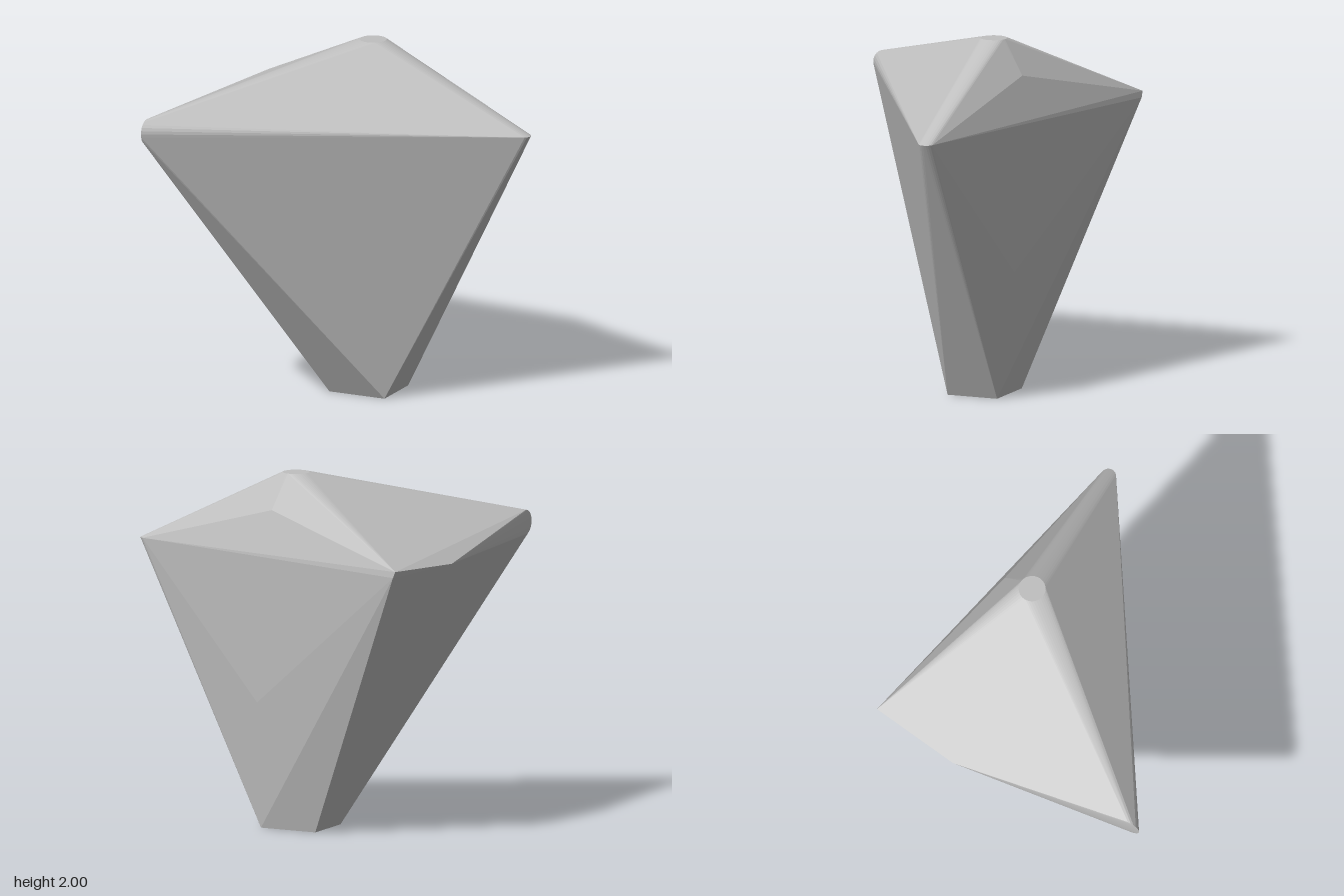
import * as THREE from 'three';
import { ConvexGeometry } from 'three/addons/geometries/ConvexGeometry.js';

const V = (x, y, z) => new THREE.Vector3(x, y, z);

// Ring of points around a centre, spanned by two axis vectors
function ring(center, u, v, radius, count) {
  return Array.from({ length: count }, (_, i) => {
    const a = (i / count) * Math.PI * 2;
    return center.clone()
      .addScaledVector(u, Math.cos(a) * radius)
      .addScaledVector(v, Math.sin(a) * radius);
  });
}

export function createModel() {
  const group = new THREE.Group();
  group.name = 'facetedBody';

  const X = V(1, 0, 0), Y = V(0, 1, 0), Z = V(0, 0, 1);
  const points = [
    // round flat crown
    ...ring(V(0, 2, -0.305), X, Z, 0.075, 32),
    // rounded left tip, lying flat
    ...ring(V(0.927, 1.56, -0.305), X, Z, 0.043, 20),
    // rounded front tip, standing upright
    ...ring(V(-0.885, 1.627, 0.745), Z, Y, 0.07, 24),
    // back tip and the shallow right-hand corner
    V(-0.89, 1.585, -0.815), V(-0.875, 1.55, -0.815),
    V(-0.973, 1.56, -0.3),
    // slight bulges on the back
    V(0.05, 1.81, -0.5), V(0.145, 0.72, -0.494),
    // rectangular foot
    V(0.17, 0, -0.1), V(-0.17, 0, -0.1),
    V(0.17, 0, -0.4), V(-0.17, 0, -0.4),
  ];

  const grey = new THREE.MeshStandardMaterial({ color: 0xbfbfbf });
  grey.name = 'grey';
  const body = new THREE.Mesh(new ConvexGeometry(points), grey);
  body.name = 'body';
  group.add(body);
  return group;
}
